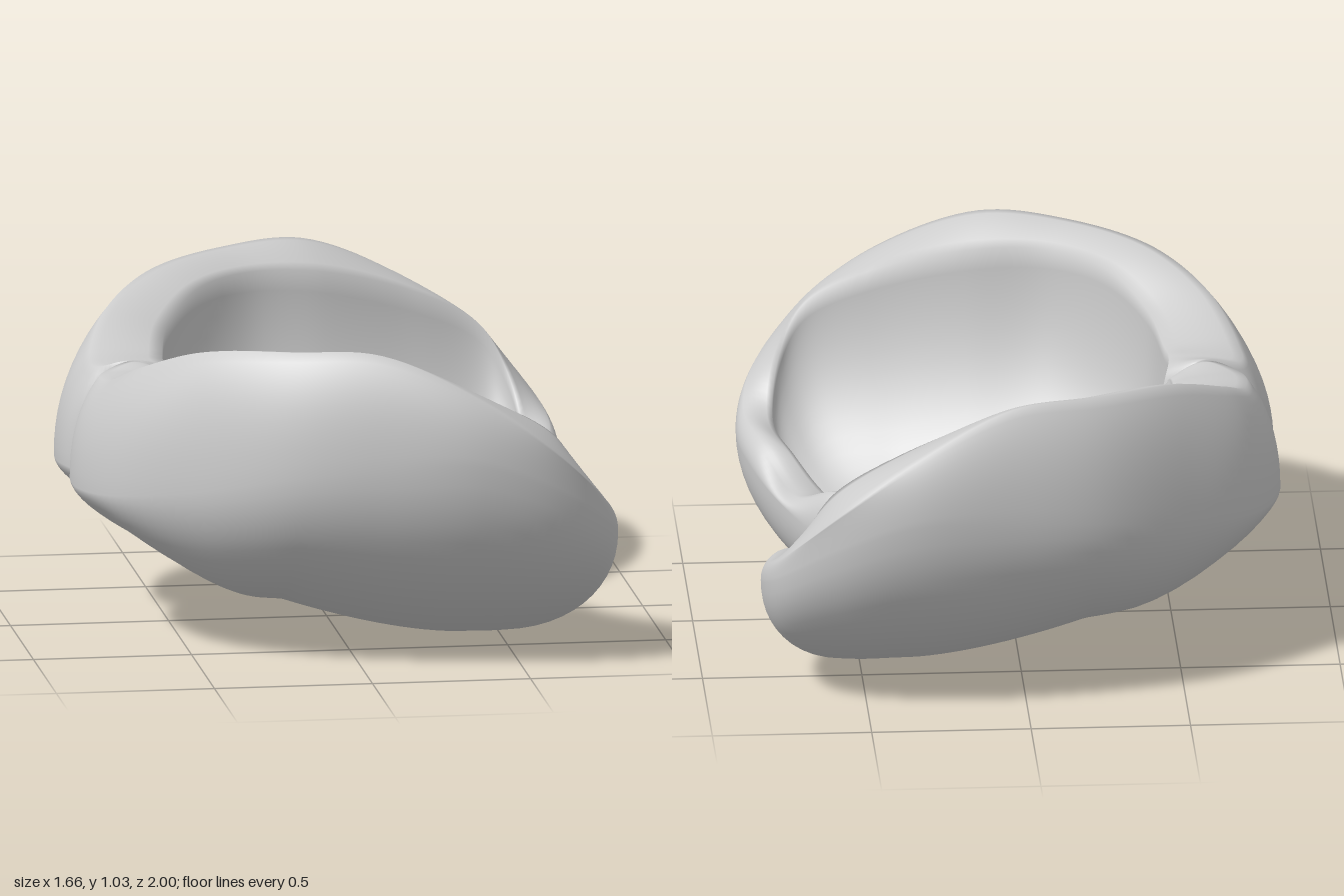
import * as THREE from 'three';

const { clamp, lerp, smoothstep } = THREE.MathUtils;
const loop = (pts) => new THREE.CatmullRomCurve3(pts.map((p) => new THREE.Vector3(...p)), true, 'centripetal');

// Matching stations run around one shell: seam, low lip, outer side, high back, seam.
const widest = loop([
  [0.3, 0.16, 0.001], [0.45, 0.19, 0.02], [0.58, 0.22, 0.1], [0.7, 0.28, 0.25],
  [0.79, 0.34, 0.45], [0.825, 0.38, 0.65], [0.78, 0.45, 0.82], [0.6, 0.58, 0.95],
  [0.35, 0.68, 1.0], [0.05, 0.67, 0.96], [-0.25, 0.63, 0.87], [-0.52, 0.56, 0.69],
  [-0.75, 0.51, 0.47], [-0.83, 0.49, 0.22], [-0.8, 0.49, 0.03], [-0.65, 0.43, 0.001],
  [-0.45, 0.35, 0.001], [-0.1, 0.23, 0.001],
]);
const rimOuter = loop([
  [0.31, 0.27, 0.002], [0.43, 0.35, 0.05], [0.55, 0.37, 0.13], [0.66, 0.31, 0.28],
  [0.75, 0.41, 0.46], [0.8, 0.45, 0.66], [0.755, 0.54, 0.84], [0.58, 0.72, 0.955],
  [0.36, 0.88, 0.955], [0.05, 1.02, 0.87], [-0.22, 1.02, 0.78], [-0.48, 0.99, 0.6],
  [-0.64, 0.91, 0.42], [-0.72, 0.82, 0.2], [-0.72, 0.81, 0.05], [-0.61, 0.835, 0.002],
  [-0.48, 0.75, 0.002], [-0.08, 0.45, 0.002],
]);
const rimInner = loop([
  [0.3, 0.25, 0.02], [0.35, 0.31, 0.08], [0.43, 0.33, 0.18], [0.54, 0.28, 0.3],
  [0.66, 0.39, 0.43], [0.71, 0.43, 0.62], [0.68, 0.6, 0.76], [0.6, 0.74, 0.82],
  [0.4, 0.85, 0.8], [0.1, 0.94, 0.73], [-0.15, 0.96, 0.67], [-0.33, 0.94, 0.54],
  [-0.45, 0.86, 0.38], [-0.49, 0.81, 0.2], [-0.5, 0.81, 0.11], [-0.49, 0.79, 0.04],
  [-0.44, 0.66, 0.02], [-0.08, 0.42, 0.02],
]);

// Spines that the underside and the bowl floor close onto.
function baseSpine(x) {
  const c = clamp(x, -0.2, 0.42);
  const back = clamp((0.35 - c) / 0.55, 0, 1);
  return new THREE.Vector3(c, 0.13 * back ** 1.5, lerp(0.17, 0.22, back));
}
function floorSpine(x) {
  const c = clamp(x, -0.41, 0.32);
  const back = (0.32 - c) / 0.73;
  return new THREE.Vector3(c, lerp(0.14, 0.36, back), lerp(0.15, 0.19, back));
}

const COLS = 160, OUT = 16, SIDE = 10, RIM = 6, IN = 18;

// One cross-section: underside, outer wall, rim band, then down into the bowl.
function section(t) {
  const w = widest.getPoint(t), o = rimOuter.getPoint(t), n = rimInner.getPoint(t);
  const base = baseSpine(w.x), floor = floorSpine(n.x);
  const pts = [];
  const flat = clamp((-0.2 - w.x) / 0.5, 0, 1) * (1 - smoothstep(w.z, 0.3, 0.75));
  for (let j = 0; j < OUT; j++) {
    const s = Math.sin((j / OUT) * Math.PI / 2);
    const p = base.clone().lerp(w, s);
    const round = 1 - Math.sqrt(1 - s * s);
    const sloped = 0.82 * s ** 1.15 + 0.18 * (1 - Math.sqrt(1 - s ** 6));
    p.y = lerp(base.y, w.y, lerp(round, sloped, flat));
    pts.push(p);
  }
  const shoulder = new THREE.Vector3(w.x, lerp(w.y, o.y, 0.65), w.z);
  const side = new THREE.QuadraticBezierCurve3(w, shoulder, o);
  for (let j = 0; j < SIDE; j++) pts.push(side.getPoint(j / SIDE));
  const crown = o.clone().lerp(n, 0.4);
  crown.y += 0.02;
  const rim = new THREE.QuadraticBezierCurve3(o, crown, n);
  for (let j = 0; j < RIM; j++) pts.push(rim.getPoint(j / RIM));
  // The bowl curves up to the outer wall, but slopes straight up to the seam
  const seam = 1 - smoothstep(n.z, 0.03, 0.15);
  for (let j = 0; j <= IN; j++) {
    const s = Math.cos((j / IN) * Math.PI / 2);
    const p = floor.clone().lerp(n, s);
    const round = 1 - Math.sqrt(Math.max(0, 1 - s ** 2.3));
    p.y = lerp(floor.y, n.y, lerp(round, s, seam));
    pts.push(p);
  }
  return pts;
}

function shell(sign) {
  const pos = [], index = [];
  let rows = 0;
  for (let i = 0; i < COLS; i++) {
    const pts = section(i / COLS);
    rows = pts.length;
    for (const p of pts) pos.push(p.x, Math.max(0, p.y), sign * Math.max(0.001, p.z));
  }
  for (let i = 0; i < COLS; i++) {
    const k = ((i + 1) % COLS) * rows;
    for (let j = 0; j < rows - 1; j++) {
      const a = i * rows + j, b = a + 1, c = k + j, d = c + 1;
      if (sign > 0) index.push(a, b, c, b, d, c);
      else index.push(a, c, b, b, c, d);
    }
  }
  const g = new THREE.BufferGeometry();
  g.setAttribute('position', new THREE.Float32BufferAttribute(pos, 3));
  g.setIndex(index);
  g.computeVertexNormals();
  return g;
}

export function createModel() {
  const group = new THREE.Group();
  group.name = 'pairedShells';
  const material = new THREE.MeshStandardMaterial({ color: 0xcccccc });
  // Two mirrored bowls meeting along the seam
  for (const [name, sign] of [['frontShell', 1], ['backShell', -1]]) {
    const mesh = new THREE.Mesh(shell(sign), material);
    mesh.name = name;
    group.add(mesh);
  }
  return group;
}
